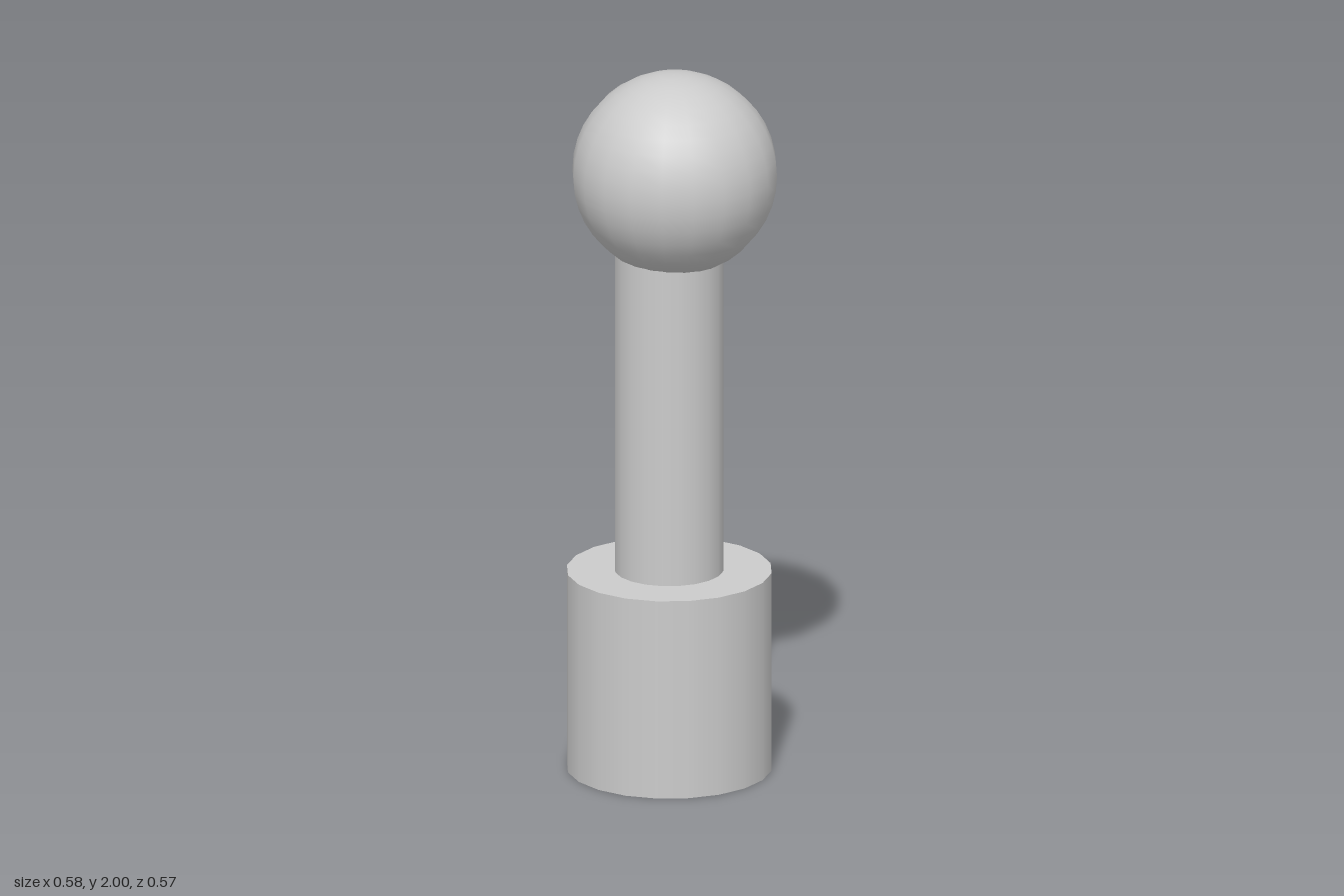
import * as THREE from 'three';

export function createModel() {
  const group = new THREE.Group();
  const material = new THREE.MeshStandardMaterial({ color: 0xcccccc });
  const sides = 20;

  const add = (name, geometry, x, y, z) => {
    const mesh = new THREE.Mesh(geometry, material);
    mesh.name = name;
    mesh.position.set(x, y, z);
    group.add(mesh);
  };

  // Wide cylindrical foot
  add('base', new THREE.CylinderGeometry(0.283, 0.283, 0.57, sides), -0.007, 0.285, 0.004);

  // Slim shaft from the foot up into the ball
  add('stem', new THREE.CylinderGeometry(0.15, 0.15, 0.96, sides), -0.008, 1.04, 0.004);

  // Ball, set very slightly off the shaft axis
  add('ball', new THREE.SphereGeometry(0.283, sides, 20), 0.005, 1.717, -0.005);

  return group;
}
